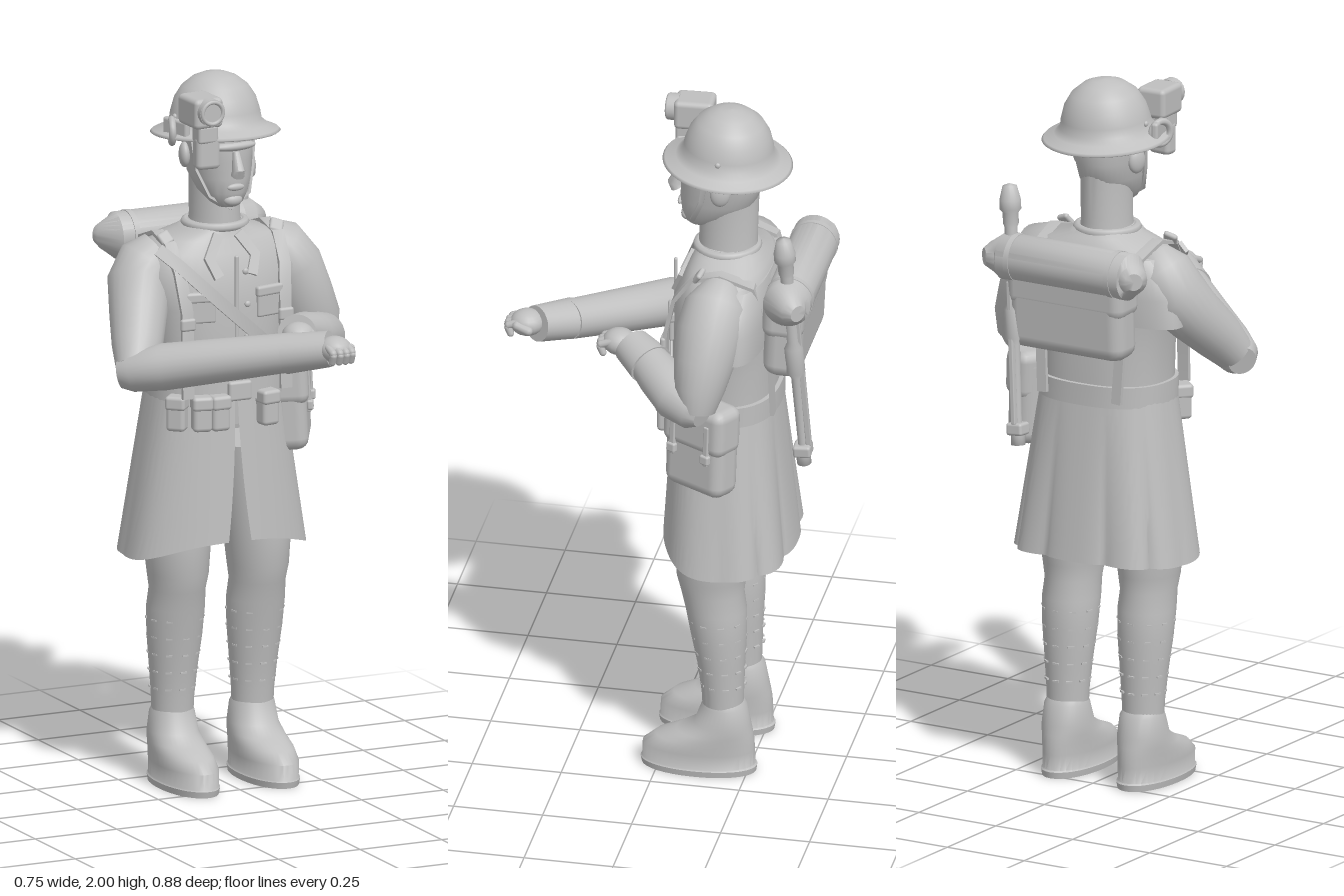
import * as THREE from 'three';
import { toCreasedNormals } from 'three/addons/utils/BufferGeometryUtils.js';
import { RoundedBoxGeometry } from 'three/addons/geometries/RoundedBoxGeometry.js';

const V = (a) => new THREE.Vector3(a[0], a[1], a[2]);
const grey = new THREE.MeshStandardMaterial({ color: 0xbfbfbf, side: THREE.DoubleSide });
grey.name = 'plain grey';

// Skins a list of point rings; closed rings get end caps
function skin(rings, closed = true) {
  const n = rings[0].length, pos = [], idx = [];
  rings.forEach((r) => r.forEach((p) => pos.push(p.x, p.y, p.z)));
  for (let i = 0; i < rings.length - 1; i++) {
    for (let j = 0; j < (closed ? n : n - 1); j++) {
      const a = i * n + j, b = i * n + ((j + 1) % n), c = a + n, d = b + n;
      idx.push(a, c, b, b, c, d);
    }
  }
  if (closed) [0, rings.length - 1].forEach((i) => {
    const m = new THREE.Vector3();
    rings[i].forEach((p) => m.addScaledVector(p, 1 / n));
    const k = pos.length / 3;
    pos.push(m.x, m.y, m.z);
    for (let j = 0; j < n; j++) {
      const a = i * n + j, b = i * n + ((j + 1) % n);
      if (i) idx.push(a, k, b); else idx.push(a, b, k);
    }
  });
  const g = new THREE.BufferGeometry();
  g.setAttribute('position', new THREE.Float32BufferAttribute(pos, 3));
  g.setIndex(idx);
  return toCreasedNormals(g, 0.85);
}

// Upright loft: rows are [y, centreX, halfWidth, zBack, zFront], bottom to top
function stack(rows, e = 2, n = 36) {
  const f = (c) => Math.sign(c) * Math.abs(c) ** (2 / e);
  return skin(rows.map(([y, cx, rx, zb, zf]) => Array.from({ length: n }, (_, j) => {
    const a = (j / n) * Math.PI * 2;
    return new THREE.Vector3(cx + rx * f(Math.cos(a)), y, (zb + zf) / 2 + ((zf - zb) / 2) * f(Math.sin(a)));
  })));
}

// Loft along a path: rows are [x, y, z, radiusU, radiusV]; hint sets the U direction
function limb(rows, n = 20, hint = [0, 1, 0], turn = 0) {
  const p = rows.map(V);
  return skin(rows.map((r, i) => {
    const t = p[Math.min(i + 1, p.length - 1)].clone().sub(p[Math.max(i - 1, 0)]).normalize();
    const u = V(hint).addScaledVector(t, -V(hint).dot(t)).normalize();
    const v = u.clone().cross(t);
    return Array.from({ length: n }, (_, j) => {
      const a = (j / n) * Math.PI * 2 + turn;
      return p[i].clone().addScaledVector(u, Math.cos(a) * r[3]).addScaledVector(v, Math.sin(a) * (r[4] ?? r[3]));
    });
  }));
}

export function createModel() {
  const root = new THREE.Group();
  const add = (name, geo, pos = [0, 0, 0], rot = [0, 0, 0], scale = [1, 1, 1], parent = root) => {
    const m = new THREE.Mesh(geo, grey);
    m.name = name;
    m.position.set(...pos); m.rotation.set(...rot); m.scale.set(...scale);
    parent.add(m);
  };
  const group = (name, pos, rot = [0, 0, 0]) => {
    const g = new THREE.Group();
    g.name = name;
    g.position.set(...pos); g.rotation.set(...rot);
    root.add(g);
    return g;
  };
  const box = (name, size, pos, rot, r = 0.008, parent = root) =>
    add(name, new RoundedBoxGeometry(...size, 2, Math.min(r, ...size.map((s) => s * 0.45))), pos, rot, undefined, parent);
  const ball = (name, s, pos, rot) => add(name, new THREE.SphereGeometry(1, 20, 14), pos, rot, s);
  const strap = (name, pts, w, hint = [1, 0, 0], t = 0.008) =>
    add(name, limb(pts.map((p) => [...p, w * 0.7, t]), 4, hint, Math.PI / 4));

  // Legs, boots and puttee ties
  [-0.119, 0.126].forEach((x) => {
    add('leg', stack([
      [0.15, x, 0.057, -0.235, -0.125], [0.24, x, 0.06, -0.237, -0.12], [0.33, x, 0.068, -0.24, -0.108],
      [0.42, x, 0.077, -0.245, -0.09], [0.5, x, 0.08, -0.245, -0.075], [0.555, x, 0.076, -0.238, -0.062],
      [0.6, x, 0.083, -0.243, -0.05], [0.7, x, 0.092, -0.26, -0.045], [0.95, x * 0.8, 0.1, -0.28, -0.05],
    ]));
    add('boot', stack([
      [0, x, 0.074, -0.272, 0.048], [0.018, x, 0.077, -0.275, 0.052], [0.022, x, 0.073, -0.27, 0.048],
      [0.065, x, 0.075, -0.268, 0.046], [0.095, x, 0.074, -0.266, 0.01], [0.118, x, 0.072, -0.262, -0.05],
      [0.145, x, 0.069, -0.256, -0.1], [0.2, x, 0.062, -0.245, -0.12], [0.215, x, 0.056, -0.235, -0.126],
    ], 2.1));
    [0.27, 0.32, 0.37, 0.42, 0.47].forEach((y) => {
      const r = 0.062 + (y - 0.27) * 0.085;
      for (let k = 0; k < 10; k++) {
        const a = (k / 10) * Math.PI * 2;
        add('putteeTie', new THREE.BoxGeometry(0.018, 0.005, 0.006),
          [x + Math.sin(a) * r, y, -0.18 + (y - 0.27) * 0.08 + Math.cos(a) * r], [0, a, 0]);
      }
    });
  });

  // Coat skirt, split at the front and pleated at the back
  const skirt = [];
  for (let i = 0; i <= 10; i++) {
    const v = i / 10, gap = 0.008 + 0.07 * v * v, ring = [];
    for (let j = 0; j <= 144; j++) {
      const a = gap + (j / 144) * (Math.PI * 2 - 2 * gap), back = Math.max(0, -Math.cos(a));
      const pleat = Math.abs(Math.cos(a * 5)) ** 0.6 - 0.75;
      const fold = 1 + v * (0.11 * Math.sqrt(back) * pleat + 0.012 * Math.cos(a * 5));
      const sx = Math.sign(Math.sin(a)) * Math.abs(Math.sin(a)) ** 0.8;
      const sz = Math.sign(Math.cos(a)) * Math.abs(Math.cos(a)) ** 0.8;
      const hem = 0.65 + 0.055 * Math.max(0, Math.cos(a)) ** 2 + 0.012 * back;
      ring.push(new THREE.Vector3((0.188 + 0.075 * v) * sx * fold,
        1.14 + (hem - 1.14) * v, -0.167 - 0.013 * v + (0.143 + 0.038 * v) * sz * fold));
    }
    skirt.push(ring);
  }
  add('coatSkirt', skin(skirt, false));

  // Coat body, shoulder cape, collar, front seam and buttons
  add('coatBody', stack([
    [1.03, 0.003, 0.18, -0.3, -0.03], [1.15, 0.003, 0.186, -0.308, -0.022], [1.25, 0.003, 0.188, -0.305, -0.02],
    [1.36, 0.003, 0.21, -0.308, -0.02], [1.45, 0.005, 0.235, -0.31, -0.03], [1.51, 0.005, 0.215, -0.3, -0.055],
    [1.545, 0.005, 0.17, -0.285, -0.07], [1.565, 0.005, 0.1, -0.265, -0.078], [1.585, 0.005, 0.08, -0.25, -0.083],
  ], 2.4, 48));
  add('shoulderCape', stack([
    [1.34, 0.005, 0.278, -0.304, -0.15], [1.42, 0.005, 0.272, -0.308, -0.14],
    [1.48, 0.005, 0.25, -0.306, -0.13], [1.525, 0.005, 0.205, -0.295, -0.13],
  ], 2.6, 48));
  add('collar', new THREE.TorusGeometry(0.082, 0.013, 8, 32), [0.005, 1.575, -0.167], [Math.PI / 2, 0, 0]);
  box('frontSeam', [0.012, 0.36, 0.01], [0.0, 1.33, -0.02]);
  [1.46, 1.37, 1.28, 1.2].forEach((y) => ball('button', [0.009, 0.009, 0.006], [0.032, y, y > 1.4 ? -0.03 : -0.017]));
  [-1, 1].forEach((s) => {
    box('chestPocket', [0.085, 0.085, 0.014], [s * 0.105, 1.37, -0.03], [0, s * 0.2, 0]);
    box('pocketFlap', [0.09, 0.03, 0.02], [s * 0.105, 1.4, -0.03], [0, s * 0.2, 0]);
    strap('lapel', [[s * 0.03, 1.56, -0.075], [s * 0.07, 1.5, -0.05], [s * 0.05, 1.45, -0.028]], 0.03);
  });

  // Belt, buckle and pouches
  add('belt', stack([[1.1, 0.003, 0.197, -0.32, -0.012], [1.16, 0.003, 0.197, -0.32, -0.012]], 2.4, 48));
  box('buckle', [0.07, 0.055, 0.02], [0.003, 1.13, -0.008]);
  [[-0.165, -0.055, -0.75], [-0.108, -0.02, -0.25], [-0.06, -0.01, 0], [0.09, -0.012, 0.15]].forEach(([x, z, ry]) => {
    box('pouch', [0.054, 0.09, 0.05], [x, 1.07, z], [0, ry, 0], 0.012);
    box('pouchFlap', [0.058, 0.04, 0.058], [x, 1.105, z], [0, ry, 0], 0.01);
  });
  // Webbing over the shoulders and across the chest
  [-1, 1].forEach((s) => {
    strap('shoulderStrap', [[s * 0.15, 1.12, -0.018], [s * 0.15, 1.36, -0.024], [s * 0.16, 1.47, -0.05],
      [s * 0.165, 1.54, -0.1], [s * 0.165, 1.56, -0.18], [s * 0.16, 1.53, -0.27], [s * 0.14, 1.4, -0.31]], 0.035);
    strap('backStrap', [[s * 0.13, 1.3, -0.312], [s * 0.12, 1.12, -0.318]], 0.03);
    box('strapBuckle', [0.045, 0.035, 0.016], [s * 0.15, 1.33, -0.018]);
    box('strapLoop', [0.04, 0.04, 0.016], [s * 0.17, 1.555, -0.12], [-0.6, 0, s * -0.4]);
  });
  strap('chestSling', [[-0.2, 1.53, -0.1], [-0.16, 1.49, -0.05], [-0.06, 1.39, -0.012],
    [0.05, 1.29, -0.01], [0.15, 1.2, -0.03], [0.2, 1.14, -0.1]], 0.035, [1, 1, 0]);

  // Hip bag on the left, turned towards the front
  const bag = group('hipBag', [0.222, 1.06, -0.14], [0, -0.5, 0.05]);
  box('bagBody', [0.1, 0.26, 0.205], [0, -0.005, 0], undefined, 0.035, bag);
  box('bagFlap', [0.106, 0.14, 0.214], [0.004, 0.065, 0], undefined, 0.03, bag);
  [-0.06, 0.06].forEach((z) => {
    box('bagStrap', [0.012, 0.12, 0.018], [0.055, 0.03, z], undefined, 0.004, bag);
    box('bagBuckle', [0.018, 0.028, 0.03], [0.058, -0.01, z], undefined, 0.006, bag);
  });

  // Arms with cuffs
  add('rightUpperArm', limb([[-0.15, 1.5, -0.185, 0.06, 0.07], [-0.185, 1.47, -0.19, 0.09, 0.09],
    [-0.218, 1.42, -0.18, 0.095, 0.09], [-0.25, 1.35, -0.125, 0.082, 0.08], [-0.285, 1.28, -0.06, 0.07, 0.072],
    [-0.31, 1.225, -0.015, 0.055, 0.058]], 24, [0, 0, 1]));
  add('rightForearm', limb([[-0.35, 1.21, -0.035, 0.04, 0.04], [-0.325, 1.217, -0.015, 0.055, 0.058],
    [-0.25, 1.235, 0.035, 0.065, 0.07], [-0.12, 1.265, 0.145, 0.06, 0.066], [0.03, 1.3, 0.275, 0.054, 0.06]], 24));
  add('rightCuff', limb([[0.01, 1.295, 0.265, 0.056, 0.062], [0.105, 1.318, 0.35, 0.05, 0.054]], 24));
  add('leftUpperArm', limb([[0.15, 1.5, -0.18, 0.06, 0.07], [0.195, 1.475, -0.175, 0.09, 0.09],
    [0.235, 1.42, -0.165, 0.094, 0.092], [0.268, 1.34, -0.155, 0.084, 0.086], [0.295, 1.27, -0.148, 0.07, 0.08],
    [0.31, 1.21, -0.145, 0.05, 0.06]], 24, [0, 0, 1]));
  add('leftForearm', limb([[0.335, 1.21, -0.165, 0.035, 0.035], [0.32, 1.217, -0.14, 0.06, 0.056],
    [0.29, 1.235, -0.085, 0.068, 0.068], [0.23, 1.26, -0.025, 0.062, 0.064], [0.175, 1.285, 0.03, 0.052, 0.055]], 24));
  add('leftCuff', limb([[0.195, 1.277, 0.01, 0.058, 0.066], [0.138, 1.298, 0.075, 0.05, 0.055]], 24));

  // Half-closed hands
  [['rightHand', 0.107, 1.322, 0.375, 1], ['leftHand', 0.124, 1.3, 0.112, -1]].forEach(([name, x, y, z, s]) => {
    const hand = group(name, [x, y, z]);
    add('palm', new THREE.SphereGeometry(1, 18, 12), [0, 0, 0], [0, s * 0.3, 0], [0.046, 0.037, 0.048], hand);
    for (let k = 0; k < 4; k++) {
      const fx = (k - 1.5) * 0.019, back = Math.abs(k - 1.5) * 0.004;
      add('finger', new THREE.CapsuleGeometry(0.0108, 0.035, 4, 10), [fx, 0.006, 0.036 - back], [1.9, 0, 0], undefined, hand);
      add('fingertip', new THREE.CapsuleGeometry(0.01, 0.02, 4, 10), [fx, -0.016, 0.051 - back], [0.4, 0, 0], undefined, hand);
    }
    add('thumb', new THREE.CapsuleGeometry(0.013, 0.035, 4, 10), [s * 0.04, 0.0, 0.005], [1.3, 0, s * 0.2], undefined, hand);
  });

  // Head and face
  add('neck', stack([[1.53, 0.005, 0.078, -0.255, -0.085], [1.6, 0.005, 0.068, -0.25, -0.088], [1.74, 0.005, 0.068, -0.255, -0.09]]));
  add('head', stack([[1.638, 0.005, 0.028, -0.12, -0.062], [1.65, 0.005, 0.046, -0.15, -0.05], [1.68, 0.005, 0.067, -0.21, -0.04],
    [1.72, 0.005, 0.08, -0.25, -0.036], [1.77, 0.005, 0.087, -0.265, -0.038], [1.83, 0.005, 0.094, -0.272, -0.032],
    [1.9, 0.005, 0.09, -0.26, -0.05]], 2.15));
  add('nose', limb([[0.005, 1.735, -0.025, 0.019, 0.018], [0.005, 1.75, -0.018, 0.018, 0.02], [0.005, 1.8, -0.035, 0.01, 0.01]], 12, [1, 0, 0]));
  ball('brow', [0.065, 0.014, 0.02], [0.005, 1.815, -0.045]);
  ball('lips', [0.026, 0.01, 0.008], [0.005, 1.7, -0.036]);
  ball('chin', [0.028, 0.018, 0.018], [0.005, 1.66, -0.055]);
  [-1, 1].forEach((s) => {
    ball('ear', [0.016, 0.036, 0.028], [0.005 + s * 0.094, 1.775, -0.165], [0, s * 0.3, 0]);
    strap('chinStrap', [[0.005 + s * 0.097, 1.84, -0.125], [0.005 + s * 0.086, 1.74, -0.11],
      [0.005 + s * 0.06, 1.67, -0.08], [0.005, 1.632, -0.07]], 0.014, [0, 0, 1], 0.005);
  });

  // Wide-brimmed helmet
  const profile = [[0.115, 1.845], [0.174, 1.828], [0.18, 1.832], [0.174, 1.838], [0.145, 1.85], [0.128, 1.865], [0.124, 1.89],
    [0.113, 1.927], [0.092, 1.96], [0.06, 1.985], [0.03, 1.996], [0.0, 1.999]];
  add('helmet', new THREE.LatheGeometry(profile.map(([r, y]) => new THREE.Vector2(r, y - 1.84)), 56),
    [0.007, 1.84, -0.168], [-0.07, 0, -0.02]);
  [-1, 1].forEach((s) => ball('helmetRivet', [0.006, 0.008, 0.008], [0.007 + s * 0.126, 1.885, -0.165]));

  // Helmet lamp on the right side
  box('lampHousing', [0.088, 0.085, 0.11], [-0.094, 1.925, -0.055], [0, 0.05, 0], 0.014);
  add('lampRim', new THREE.CylinderGeometry(0.038, 0.038, 0.03, 20), [-0.092, 1.932, 0.003], [Math.PI / 2, 0, 0]);
  add('lampRing', new THREE.TorusGeometry(0.031, 0.006, 8, 24), [-0.092, 1.932, 0.018]);
  box('lampBracket', [0.06, 0.05, 0.05], [-0.092, 1.865, -0.03]);
  box('lampBattery', [0.07, 0.095, 0.045], [-0.088, 1.812, -0.03], [0, -0.1, 0], 0.014);
  add('lampClip', new THREE.TorusGeometry(0.032, 0.01, 8, 24), [-0.145, 1.855, -0.13], [0, 1.2, 0]);
  box('lampArm', [0.02, 0.05, 0.1], [-0.135, 1.865, -0.12], [0, 0.25, 0]);

  // Pack with flap, bedroll and ties
  box('pack', [0.37, 0.25, 0.11], [0.0, 1.385, -0.355], [-0.05, 0, 0], 0.04);
  box('packFlap', [0.38, 0.12, 0.118], [0.0, 1.44, -0.355], [-0.05, 0, 0], 0.035);
  add('bedroll', limb([[-0.237, 1.51, -0.415, 0.024], [-0.225, 1.51, -0.4, 0.04], [-0.2, 1.51, -0.374, 0.066],
    [0.205, 1.51, -0.374, 0.066], [0.235, 1.51, -0.4, 0.04], [0.249, 1.51, -0.415, 0.024]], 28));
  [-0.16, 0.165].forEach((x) =>
    add('bedrollTie', new THREE.CylinderGeometry(0.068, 0.068, 0.016, 28), [x, 1.51, -0.374], [0, 0, Math.PI / 2]));

  // Long tool slung behind the left shoulder
  const tool = group('slungTool', [0.17, 1.345, -0.387], [0.065, 0, -0.08]);
  const shaft = [[0, -0.36], [0.02, -0.36], [0.02, -0.32], [0.012, -0.31], [0.014, -0.08], [0.027, -0.06], [0.027, 0.02],
    [0.018, 0.04], [0.018, 0.25], [0.022, 0.26], [0.022, 0.29], [0.03, 0.3], [0.03, 0.325], [0.02, 0.365], [0, 0.372]];
  add('toolShaft', new THREE.LatheGeometry(shaft.map((p) => new THREE.Vector2(...p)), 20), undefined, undefined, undefined, tool);
  box('toolFoot', [0.05, 0.035, 0.05], [0, -0.315, 0], undefined, 0.008, tool);
  box('toolRail', [0.014, 0.4, 0.016], [0, -0.1, -0.018], undefined, 0.003, tool);
  return root;
}
